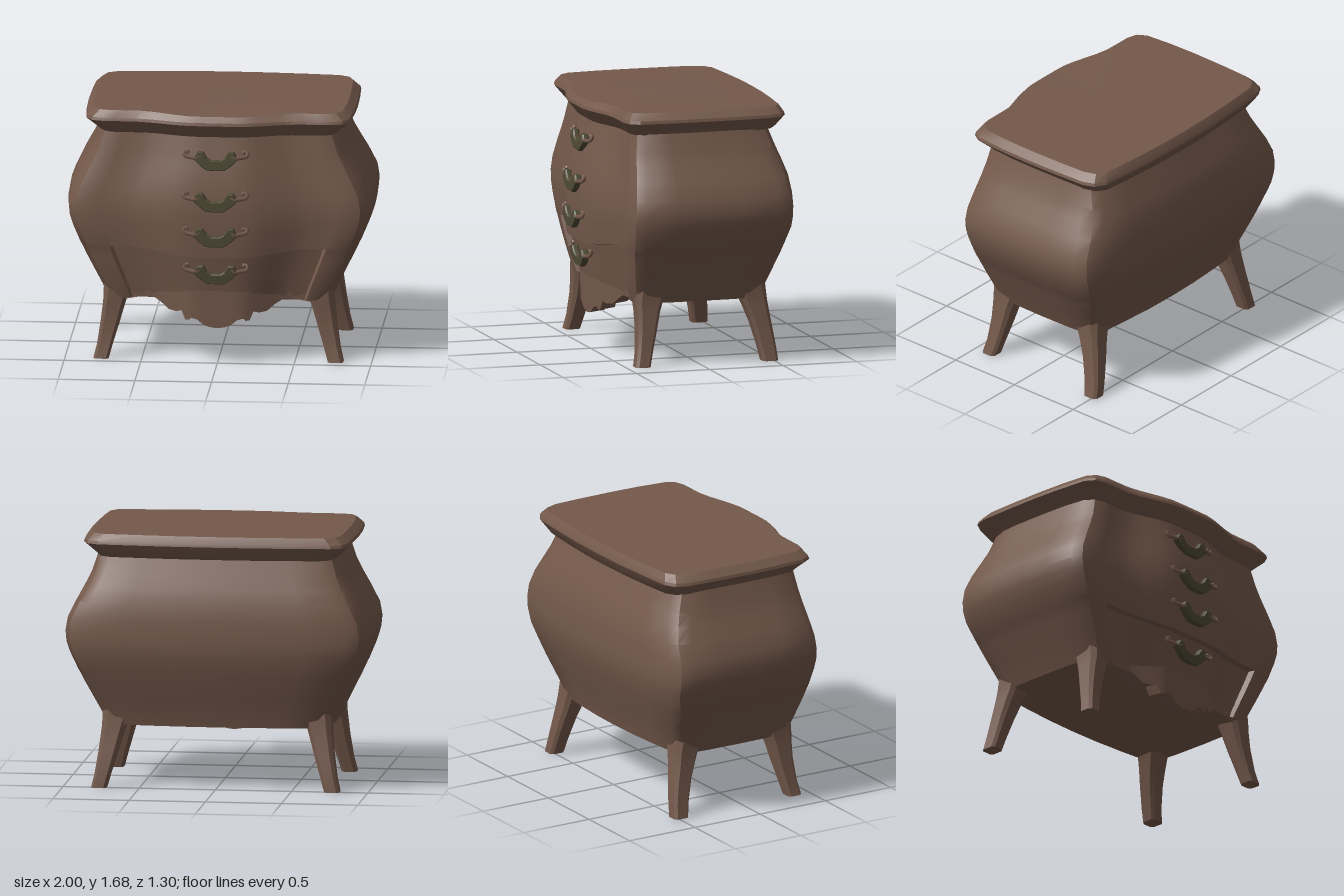
import * as THREE from 'three';
import { toCreasedNormals } from 'three/addons/utils/BufferGeometryUtils.js';

const wood = new THREE.MeshStandardMaterial({ color: 0x74594b });
const brass = new THREE.MeshStandardMaterial({ color: 0x4f4a35 });

// Skin a stack of closed loops and cap both ends.
function loft(rings, crease = 0.6) {
  const n = rings[0].length, pos = rings.flat(2), idx = [];
  rings.slice(1).forEach((_, i) => {
    for (let j = 0; j < n; j++) {
      const k = (j + 1) % n, a = i * n + j, b = i * n + k;
      idx.push(a, b, b + n, a, b + n, a + n);
    }
  });
  [[0, true], [rings.length - 1, false]].forEach(([r, flip]) => {
    const c = pos.length / 3;
    for (let d = 0; d < 3; d++) pos.push(rings[r].reduce((s, p) => s + p[d], 0) / n);
    for (let j = 0; j < n; j++) {
      const a = r * n + j, b = r * n + (j + 1) % n;
      idx.push(...(flip ? [c, b, a] : [c, a, b]));
    }
  });
  const g = new THREE.BufferGeometry();
  g.setAttribute('position', new THREE.Float32BufferAttribute(pos, 3));
  g.setIndex(idx);
  return toCreasedNormals(g, crease);
}

function add(parent, name, geometry, material = wood) {
  const mesh = new THREE.Mesh(geometry, material);
  mesh.name = name;
  parent.add(mesh);
  return mesh;
}

// Serpentine front: 1 at the centre, 0 towards the corners.
const serpentine = t => 1 - THREE.MathUtils.smoothstep(Math.abs(t), 0.15, 0.65);

// Plan outline: half width, front corner z, front bow, back z, panel recess, sag of the front centre.
function outline(y, w, front, bow, back, recess = 0, sag = 0) {
  const half = [0, 0.1, 0.2, 0.3, 0.4, 0.5, 0.6, 0.75, 0.77, 0.85].map(t => [
    t * w, y - sag * serpentine(t), front + bow * serpentine(t) - (t < 0.76 ? recess : 0)]);
  const rest = [[0.93, front - 0.02], [0.975, front - 0.08], [0.995, 0.2], [1, 0], [0.995, -0.25],
    [0.985, back + 0.12], [0.95, back + 0.04], [0.87, back], [0.6, back - 0.02], [0.3, back - 0.035], [0, back - 0.04]];
  rest.forEach(([t, z]) => half.push([t * w, y, z]));
  return [...half, ...half.slice(1, -1).reverse().map(([x, yy, z]) => [-x, yy, z])];
}

// Swelling carcass with a recessed lower front panel
function body() {
  return loft([
    [0.42, 0.745, 0.415, 0.12, -0.455, 0.025],
    [0.50, 0.78, 0.435, 0.12, -0.475, 0.03],
    [0.60, 0.83, 0.455, 0.12, -0.51, 0.035],
    [0.70, 0.88, 0.472, 0.118, -0.545, 0.035, 0.015],
    [0.775, 0.915, 0.483, 0.116, -0.568, 0.035, 0.04],
    [0.782, 0.92, 0.485, 0.116, -0.57, 0, 0.04],
    [0.90, 0.97, 0.495, 0.118, -0.605],
    [0.97, 0.993, 0.498, 0.116, -0.61],
    [1.04, 1.0, 0.498, 0.116, -0.61],
    [1.13, 0.985, 0.49, 0.118, -0.605],
    [1.24, 0.93, 0.475, 0.117, -0.592],
    [1.34, 0.875, 0.46, 0.11, -0.56],
    [1.42, 0.835, 0.45, 0.1, -0.53],
    [1.56, 0.79, 0.43, 0.09, -0.48]
  ].map(r => outline(...r)));
}

// Moulded top with a bevelled rim
function top() {
  return loft([
    [1.535, 0.79, 0.44, 0.09, -0.53],
    [1.55, 0.80, 0.455, 0.09, -0.545],
    [1.625, 0.88, 0.51, 0.095, -0.585],
    [1.645, 0.875, 0.505, 0.095, -0.58],
    [1.69, 0.828, 0.475, 0.095, -0.555, 0, 0.01]
  ].map(r => outline(...r)), 0.4);
}

// Splayed leg from [y, inner x, outer x, inner z, outer z]
function leg(rows, sx, sz) {
  return loft(rows.map(([y, xi, xo, zi, zo]) => {
    const [x0, x1] = [xi * sx, xo * sx].sort((a, b) => a - b);
    const [z0, z1] = [zi * sz, zo * sz].sort((a, b) => a - b);
    const c = (x1 - x0) * 0.18;
    return [[x0 + c, z1], [x1 - c, z1], [x1, z1 - c], [x1, z0 + c],
      [x1 - c, z0], [x0 + c, z0], [x0, z0 + c], [x0, z1 - c]].map(([x, z]) => [x, y, z]);
  }));
}

// Scalloped apron hanging below the front panel
function apron() {
  const edge = [[0, 0.25], [0.05, 0.257], [0.09, 0.272], [0.13, 0.305], [0.17, 0.315], [0.185, 0.3], [0.21, 0.3],
    [0.235, 0.36], [0.27, 0.348], [0.32, 0.355], [0.37, 0.395], [0.43, 0.432], [0.5, 0.425], [0.61, 0.405]];
  const stations = [...edge.slice(1).reverse().map(([x, y]) => [-x, y]), ...edge];
  return loft(stations.map(([x, y]) => {
    const z = 0.395 + 0.125 * serpentine(x / 0.76);
    return [[x, 0.5, z - 0.1], [x, 0.5, z + 0.005], [x, y, z], [x, y + 0.012, z - 0.1]];
  }), 0.5);
}

// Crescent drawer pull with a curled arm on each side
function handle() {
  const g = new THREE.Group();
  const half = [[0, -0.068], [0.055, -0.066], [0.1, -0.035], [0.14, 0.005], [0.115, 0.045],
    [0.085, 0.045], [0.06, 0.005], [0.03, -0.012], [0, -0.012]];
  const pts = [...half, ...half.slice(1, -1).reverse().map(([x, y]) => [-x, y])];
  const plate = new THREE.ExtrudeGeometry(new THREE.Shape(pts.map(p => new THREE.Vector2(...p))),
    { depth: 0.025, bevelEnabled: true, bevelThickness: 0.01, bevelSize: 0.006, bevelSegments: 1 });
  add(g, 'pullPlate', plate, brass);
  for (const s of [-1, 1]) {
    const path = new THREE.CatmullRomCurve3([[0.09, 0.035, 0.02], [0.125, 0.012, 0.025], [0.165, 0.015, 0.015],
      [0.2, 0.022, 0.005], [0.207, 0.045, -0.005], [0.185, 0.048, -0.01]]
      .map(([x, y, z]) => new THREE.Vector3(x * s, y, z)));
    add(g, s > 0 ? 'leftPullArm' : 'rightPullArm', new THREE.TubeGeometry(path, 12, 0.014, 5), wood);
    const curl = add(g, 'pullCurl', new THREE.IcosahedronGeometry(0.018, 0), wood);
    curl.position.set(0.185 * s, 0.046, -0.01);
  }
  return g;
}

export function createModel() {
  const model = new THREE.Group();
  model.name = 'chestOfDrawers';
  add(model, 'body', body());
  add(model, 'top', top());
  add(model, 'apron', apron());

  const frontRows = [[0.01, 0.715, 0.815, 0.34, 0.44], [0.1, 0.69, 0.793, 0.318, 0.422], [0.25, 0.645, 0.77, 0.28, 0.408],
    [0.36, 0.613, 0.757, 0.255, 0.408], [0.42, 0.595, 0.75, 0.235, 0.412], [0.52, 0.55, 0.75, 0.2, 0.41]];
  const backRows = [[0.01, 0.715, 0.815, 0.425, 0.53], [0.1, 0.69, 0.793, 0.408, 0.522], [0.25, 0.645, 0.77, 0.37, 0.5],
    [0.36, 0.613, 0.757, 0.33, 0.482], [0.42, 0.595, 0.75, 0.305, 0.475], [0.52, 0.55, 0.75, 0.27, 0.465]];
  for (const [side, sx] of [['Left', 1], ['Right', -1]]) {
    add(model, 'front' + side + 'Leg', leg(frontRows, sx, 1));
    add(model, 'back' + side + 'Leg', leg(backRows, sx, -1));
  }

  // One pull per drawer, set against the curved front
  [[1.395, 0.56, 0.06], [1.13, 0.61, 0.02], [0.895, 0.612, -0.02], [0.635, 0.56, 0.1]].forEach(([y, z, tilt], i) => {
    const h = handle();
    h.name = 'drawerPull' + (i + 1);
    h.position.set(-0.005, y, z);
    h.rotation.x = -tilt * (i === 3 ? -1 : 1);
    model.add(h);
  });
  return model;
}
